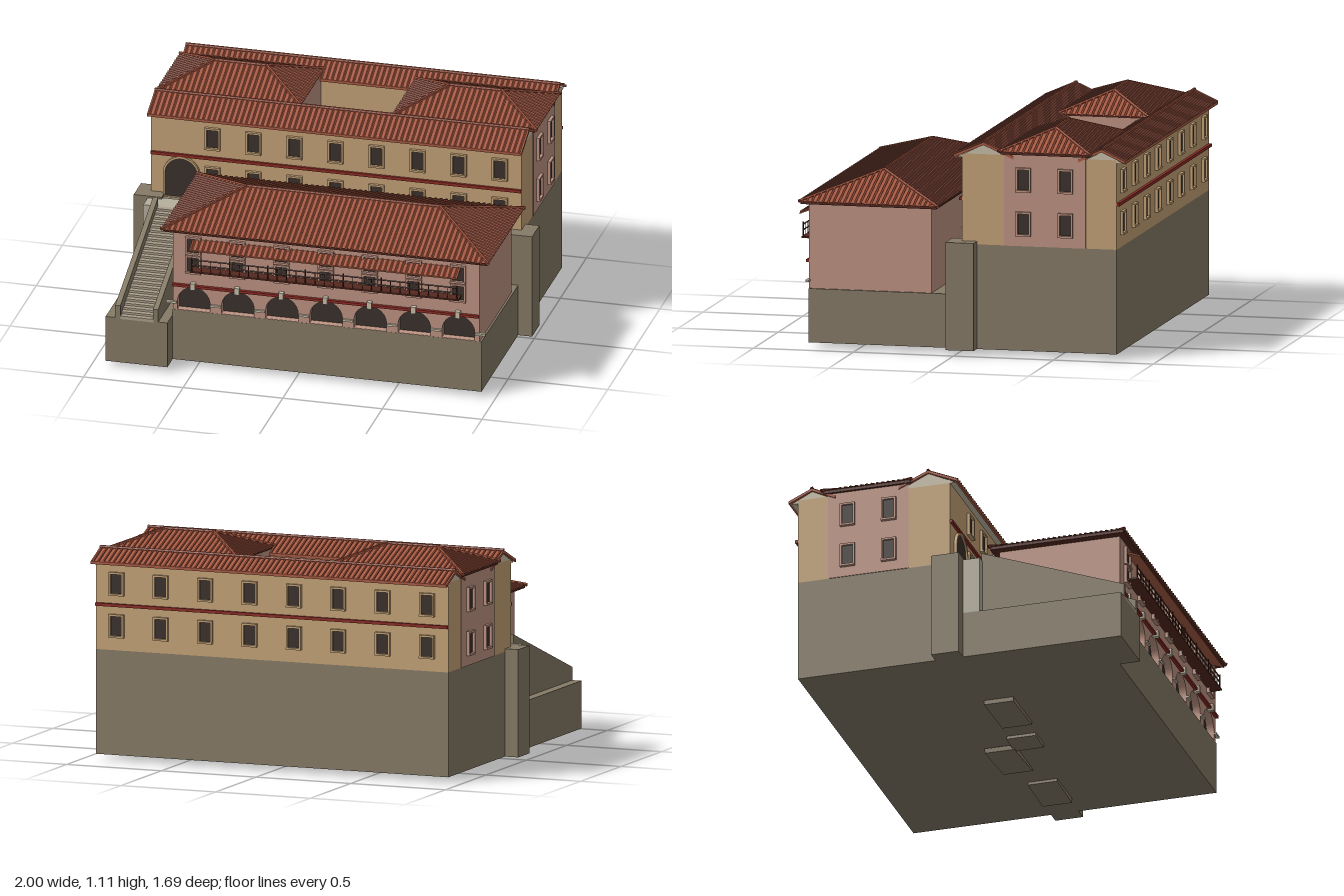
import * as THREE from 'three';
import { mergeGeometries } from 'three/addons/utils/BufferGeometryUtils.js';
import { ConvexGeometry } from 'three/addons/geometries/ConvexGeometry.js';

const mat = (color, side = THREE.FrontSide) => new THREE.MeshStandardMaterial({ color, side, flatShading: true });
const M = {
  stone: mat(0x857a66), pale: mat(0xb5af9e), step: mat(0xada08c), pink: mat(0xbe9483), tan: mat(0xc4a277),
  dark: mat(0x3a312b), red: mat(0x8c2b24), tile: mat(0xa85a43), rib: mat(0x9c503b, THREE.DoubleSide),
  eave: mat(0x55291f), gable: mat(0xc9bfa8), water: mat(0x3f7f8c),
};
const V = (x, y, z) => new THREE.Vector3(x, y, z);

// Box geometry from its minimum and maximum corners
function span(x0, x1, y0, y1, z0, z1) {
  return new THREE.BoxGeometry(x1 - x0, y1 - y0, z1 - z0).translate((x0 + x1) / 2, (y0 + y1) / 2, (z0 + z1) / 2);
}
function rod(a, b, r, sides = 5) {
  const d = b.clone().sub(a);
  const g = new THREE.CylinderGeometry(r, r, d.length(), sides, 1, true);
  g.applyQuaternion(new THREE.Quaternion().setFromUnitVectors(V(0, 1, 0), d.normalize()));
  return g.translate((a.x + b.x) / 2, (a.y + b.y) / 2, (a.z + b.z) / 2);
}
// Tile ribs on a slope: eave a-b, ridge c-d (c lies above a, d above b), clipped by the hips
function slopeRibs(a, b, c, d, pitch = 0.027) {
  const e = b.clone().sub(a), w = e.length();
  e.normalize();
  const left = c.clone().sub(a).dot(e), right = b.clone().sub(d).dot(e);
  const up = c.clone().sub(a).addScaledVector(e, -left);
  const n = Math.round(w / pitch), out = [];
  for (let i = 0; i < n; i++) {
    const s = (i + 0.5) * w / n;
    const f = Math.min(1, left > 0.001 ? s / left : 1, right > 0.001 ? (w - s) / right : 1);
    const p = a.clone().addScaledVector(e, s);
    out.push(rod(p, p.clone().addScaledVector(up, f), 0.006));
  }
  return out;
}
function archPath(P, x, y0, spring, r) {
  const p = new P();
  p.moveTo(x - r, y0);
  p.lineTo(x + r, y0);
  p.lineTo(x + r, spring);
  p.absarc(x, spring, r, 0, Math.PI, false);
  p.lineTo(x - r, y0);
  return p;
}

export function createModel() {
  const root = new THREE.Group();
  const add = (name, geo, m, parent = root) => {
    const mesh = new THREE.Mesh(Array.isArray(geo) ? mergeGeometries(geo) : geo, m);
    mesh.name = name;
    parent.add(mesh);
    return mesh;
  };
  const group = (name) => {
    const g = new THREE.Group();
    g.name = name;
    root.add(g);
    return g;
  };

  function hipRoof(name, x0, x1, z0, z1, yE, yR, r0, r1) {
    const g = group(name), zm = (z0 + z1) / 2;
    const [a, b, c, d] = [V(x0, yE, z1), V(x1, yE, z1), V(x1, yE, z0), V(x0, yE, z0)];
    const l = V(r0, yR, zm), r = V(r1, yR, zm);
    add('roofSlopes', new ConvexGeometry([a, b, c, d, l, r]), M.tile, g);
    add('eaves', span(x0 + 0.008, x1 - 0.008, yE - 0.015, yE, z0 + 0.008, z1 - 0.008), M.eave, g);
    add('tileRibs', [...slopeRibs(a, b, l, r), ...slopeRibs(b, c, r, r), ...slopeRibs(c, d, r, l), ...slopeRibs(d, a, l, l)], M.rib, g);
    add('ridgeCaps', [[a, l], [d, l], [b, r], [c, r], [l, r]].map(([p, q]) => rod(p, q, 0.009, 6)), M.rib, g);
  }
  function gableRoof(name, z0, z1, yE, yR) {
    const g = group(name), zm = (z0 + z1) / 2, X = 0.94, t = 0.014;
    const s = new THREE.Shape([[z0, yE], [zm, yR], [z1, yE], [z1, yE - t], [zm, yR - t], [z0, yE - t]].map(p => new THREE.Vector2(-p[0], p[1])));
    add('roofSlopes', new THREE.ExtrudeGeometry(s, { depth: 2 * X, bevelEnabled: false }).rotateY(Math.PI / 2).translate(-X, 0, 0), M.tile, g);
    const l = V(-X, yR, zm), r = V(X, yR, zm);
    add('tileRibs', [...slopeRibs(V(-X, yE, z1), V(X, yE, z1), l, r), ...slopeRibs(V(X, yE, z0), V(-X, yE, z0), r, l)], M.rib, g);
    add('ridgeCap', rod(l, r, 0.009, 6), M.rib, g);
    add('gableEnds', new ConvexGeometry([-0.93, 0.93].flatMap(x => [V(x, yE - t, z0 + 0.01), V(x, yE - t, z1 - 0.01), V(x, yR - t, zm)])), M.gable, g);
  }
  // Window facing +z at its local origin: frame plus dark pane
  function win(parent, m, x, y, z, turn = 0, w = 0.058, h = 0.095) {
    const g = new THREE.Group(), t = 0.01, q = w / 2, k = h / 2;
    g.name = 'window';
    add('windowFrame', [
      span(-q - t, -q, -k, k, 0, 0.015), span(q, q + t, -k, k, 0, 0.015),
      span(-q - t, q + t, k, k + t, 0, 0.015), span(-q - t, q + t, -k - t, -k, 0, 0.018)], m, g);
    add('windowPane', span(-q, q, -k, k, -0.01, 0.004), M.dark, g);
    g.position.set(x, y, z);
    g.rotation.y = turn;
    parent.add(g);
  }

  // Terraced base with corner piers and round buttresses
  const base = group('base');
  add('lowerTerrace', span(-0.62, 0.93, 0.035, 0.3, 0, 0.742), M.stone, base);
  add('upperTerrace', span(-0.93, 0.93, 0.035, 0.55, -0.8, 0.03), M.stone, base);
  for (const s of [-1, 1]) add('cornerPier', span(s * 0.93 - 0.07, s * 0.93 + 0.07, 0.035, 0.565, -0.1, 0.04), M.stone, base);
  for (const x of [-0.365, 0.155, 0.67])
    add('roundButtress', new THREE.CylinderGeometry(0.1, 0.1, 0.46, 20).translate(x, 0.3, -0.035), M.stone, base);
  for (const [x, z, w, tilt] of [[-0.27, 0.06, 0.3, 0.02], [0.07, 0.04, 0.13, -0.06], [0.25, -0.1, 0.3, 0.06], [0.66, -0.02, 0.24, -0.04]]) {
    const rock = add('footingSlab', new THREE.BoxGeometry(w, 0.024, 0.15), M.stone, base);
    rock.position.set(x, 0.028, z);
    rock.rotation.z = tilt;
  }

  // Stairway
  const stairs = group('stairway');
  add('stairBase', span(-0.93, -0.62, 0.035, 0.27, 0.02, 0.845), M.stone, stairs);
  add('landing', span(-0.93, -0.6, 0.27, 0.555, 0.02, 0.125), M.pale, stairs);
  const N = 26, steps = [];
  for (let i = 0; i < N; i++)
    steps.push(span(-0.856, -0.69, 0.265, 0.27 + 0.285 * (i + 1) / N, 0.845 - 0.72 * (i + 1) / N, 0.845 - 0.72 * i / N));
  add('steps', steps, M.step, stairs);
  const rail = new THREE.Shape([[-0.845, 0.265], [-0.12, 0.265], [-0.12, 0.6], [-0.845, 0.335]].map(p => new THREE.Vector2(...p)));
  for (const x of [-0.882, -0.692])
    add('stairParapet', new THREE.ExtrudeGeometry(rail, { depth: 0.026, bevelEnabled: false }).rotateY(Math.PI / 2).translate(x, 0, 0), M.stone, stairs);

  // Front house with arcade
  const front = group('frontHouse');
  const bays = Array.from({ length: 7 }, (_, i) => -0.515 + 0.2215 * i);
  add('houseBody', span(-0.62, 0.92, 0.3, 0.725, 0.128, 0.7), M.pink, front);
  const wall = new THREE.Shape([[-0.62, 0.3], [0.92, 0.3], [0.92, 0.725], [-0.62, 0.725]].map(p => new THREE.Vector2(...p)));
  for (const x of bays) wall.holes.push(archPath(THREE.Path, x, 0.302, 0.343, 0.082));
  add('arcadeWall', new THREE.ExtrudeGeometry(wall, { depth: 0.041, bevelEnabled: false, curveSegments: 16 }).translate(0, 0, 0.7), M.pink, front);
  add('arcadeShade', span(-0.61, 0.91, 0.301, 0.44, 0.69, 0.703), M.dark, front);
  add('redBand', span(-0.62, 0.92, 0.428, 0.441, 0.74, 0.757), M.red, front);
  add('keystones', bays.map(x => span(x - 0.012, x + 0.012, 0.42, 0.455, 0.735, 0.765)), M.gable, front);
  add('imposts', [bays[0] - 0.2215, ...bays].map(x => span(x + 0.085, x + 0.137, 0.335, 0.345, 0.735, 0.752)), M.gable, front);
  for (const x of bays) for (const y of [0.55, 0.65]) win(front, M.pink, x, y, 0.741, 0, 0.058, 0.075);
  hipRoof('frontRoof', -0.67, 0.975, 0.085, 0.78, 0.735, 0.855, -0.33, 0.64);

  // Balcony and tiled awning
  const balcony = group('balcony');
  const posts = [];
  for (let i = 0; i <= 28; i++) {
    const x = -0.51 + 1.33 * i / 28;
    posts.push(rod(V(x, 0.535, 0.795), V(x, i % 4 ? 0.595 : 0.61, 0.795), i % 4 ? 0.002 : 0.004, 4));
  }
  for (const y of [0.57, 0.597]) posts.push(rod(V(-0.51, y, 0.795), V(0.82, y, 0.795), 0.004, 4));
  add('balustrade', posts, M.eave, balcony);
  add('balconyFloor', span(-0.52, 0.83, 0.53, 0.538, 0.74, 0.802), M.eave, balcony);
  add('awning', new ConvexGeometry([-0.52, 0.825].flatMap(x => [V(x, 0.683, 0.74), V(x, 0.655, 0.812), V(x, 0.675, 0.74), V(x, 0.648, 0.812)])), M.tile, balcony);
  add('awningRibs', slopeRibs(V(-0.52, 0.655, 0.812), V(0.825, 0.655, 0.812), V(-0.52, 0.683, 0.74), V(0.825, 0.683, 0.74)), M.rib, balcony);

  // Rear villa: two long wings joined by side pavilions around a courtyard
  const villa = group('villa');
  add('frontWing', span(-0.93, 0.93, 0.55, 0.995, -0.27, -0.025), M.tan, villa);
  add('rearWing', span(-0.93, 0.93, 0.55, 0.99, -0.8, -0.63), M.tan, villa);
  add('frontRedBand', span(-0.93, 0.93, 0.765, 0.78, -0.03, -0.012), M.red, villa);
  add('rearRedBand', span(-0.93, 0.93, 0.765, 0.78, -0.815, -0.795), M.red, villa);
  for (const s of [-1, 1]) {
    const [a, b] = [s * 0.235, s * 0.934].sort((p, q) => p - q);
    add('sidePavilion', span(a, b, 0.55, 1.005, -0.645, -0.236), M.pink, villa);
    for (const z of [-0.335, -0.545]) for (const y of [0.66, 0.877]) win(villa, M.pink, s * 0.934, y, z, s * Math.PI / 2, 0.055, 0.1);
  }
  for (const y of [0.67, 0.877]) {
    for (let i = 0; i < 8; i++) {
      win(villa, M.tan, -0.62 + 0.206 * i, y, -0.025);
      win(villa, M.tan, -0.82 + 0.2343 * i, y, -0.8, Math.PI);
    }
  }
  // Arched entrance
  const ring = archPath(THREE.Shape, -0.775, 0.55, 0.675, 0.092);
  ring.holes.push(archPath(THREE.Path, -0.775, 0.552, 0.675, 0.081));
  add('entranceSurround', new THREE.ExtrudeGeometry(ring, { depth: 0.015, bevelEnabled: false, curveSegments: 20 }).translate(0, 0, -0.025), M.tan, villa);
  add('entrance', new THREE.ShapeGeometry(archPath(THREE.Shape, -0.775, 0.55, 0.675, 0.083), 20).translate(0, 0, -0.02), M.dark, villa);

  gableRoof('frontWingRoof', -0.285, 0.015, 0.99, 1.055);
  gableRoof('rearWingRoof', -0.845, -0.608, 0.988, 1.042);
  hipRoof('rightPavilionRoof', -0.955, -0.228, -0.675, -0.215, 1.015, 1.105, -0.72, -0.46);
  hipRoof('leftPavilionRoof', 0.228, 0.955, -0.675, -0.215, 1.015, 1.105, 0.46, 0.72);

  // Courtyard and fountain
  const court = group('courtyard');
  add('paving', span(-0.235, 0.235, 0.545, 0.558, -0.63, -0.27), M.pale, court);
  const basin = [[0.0, 0], [0.045, 0], [0.045, 0.03], [0.036, 0.03], [0.036, 0.012]].map(p => new THREE.Vector2(...p));
  add('basin', new THREE.LatheGeometry(basin, 20).translate(0, 0.557, -0.445), mat(0x8d8878, THREE.DoubleSide), court);
  add('water', new THREE.CylinderGeometry(0.037, 0.037, 0.012, 20).translate(0, 0.574, -0.445), M.water, court);
  add('fountainStem', new THREE.CylinderGeometry(0.006, 0.009, 0.05, 8).translate(0, 0.59, -0.445), M.pale, court);
  return root;
}
